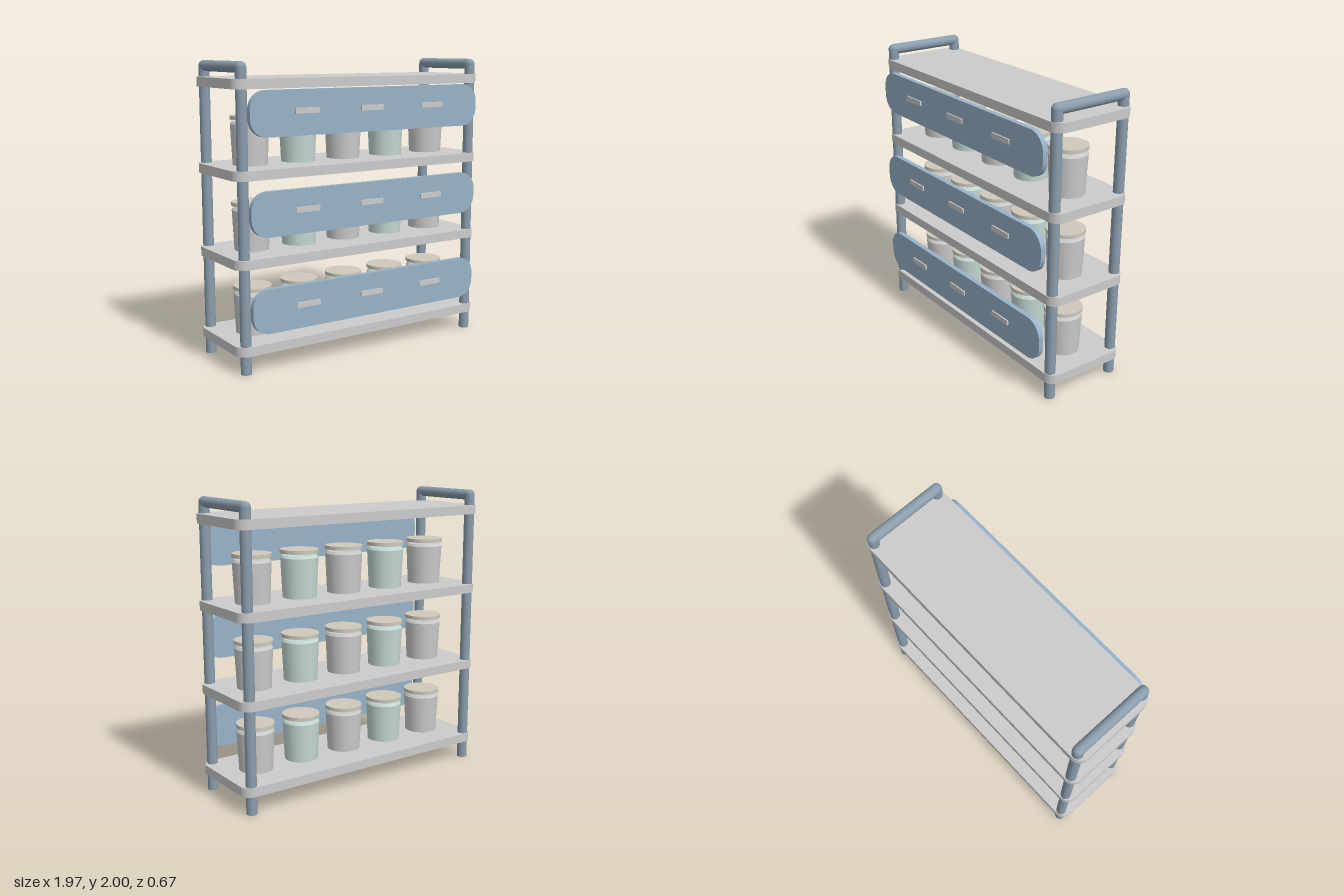
import * as THREE from 'three';

const mat = (color) => new THREE.MeshStandardMaterial({ color });
const grey = mat(0xcccccc);
const frameBlue = mat(0x8a9dac);
const panelBlue = mat(0x98b2c8);
const mint = mat(0xc5d9d5);
const lidBeige = mat(0xcfcabc);

const SHELF_TOPS = [0.188, 0.757, 1.324, 1.893];
const CENTER_Z = -0.028;

// Rounded rectangle plate centred on the origin, thickness along z
function plate(w, h, r, depth) {
  const x = w / 2, y = h / 2;
  const s = new THREE.Shape();
  s.moveTo(-x + r, -y);
  s.lineTo(x - r, -y);
  s.absarc(x - r, -y + r, r, -Math.PI / 2, 0);
  s.lineTo(x, y - r);
  s.absarc(x - r, y - r, r, 0, Math.PI / 2);
  s.lineTo(-x + r, y);
  s.absarc(-x + r, y - r, r, Math.PI / 2, Math.PI);
  s.lineTo(-x, -y + r);
  s.absarc(-x + r, -y + r, r, Math.PI, Math.PI * 1.5);
  const g = new THREE.ExtrudeGeometry(s, { depth, bevelEnabled: false, curveSegments: 10 });
  return g.translate(0, 0, -depth / 2);
}

function add(parent, name, geometry, material, x, y, z) {
  const m = new THREE.Mesh(geometry, material);
  m.name = name;
  m.position.set(x, y, z);
  parent.add(m);
  return m;
}

// Two posts joined by a top rail with rounded elbows
function sideFrame(x) {
  const g = new THREE.Group();
  g.name = 'sideFrame';
  const r = 0.036, top = 2 - r, span = 0.526;
  const post = new THREE.CylinderGeometry(r, r, top, 20);
  const elbow = new THREE.SphereGeometry(r, 20, 14);
  for (const s of [-1, 1]) {
    const z = CENTER_Z + s * span / 2;
    add(g, 'post', post, frameBlue, x, top / 2, z);
    add(g, 'elbow', elbow, frameBlue, x, top, z);
  }
  const rail = new THREE.CylinderGeometry(r, r, span, 20).rotateX(Math.PI / 2);
  add(g, 'topRail', rail, frameBlue, x, top, CENTER_Z);
  return g;
}

export function createModel() {
  const model = new THREE.Group();
  model.name = 'jarRack';

  // Frame
  model.add(sideFrame(-0.92), sideFrame(0.92));

  // Shelves
  const shelf = plate(1.966, 0.61, 0.075, 0.063).rotateX(-Math.PI / 2);
  for (const y of SHELF_TOPS) add(model, 'shelf', shelf, grey, 0, y - 0.0315, CENTER_Z);

  // Tapered jars, each with a chamfered shoulder and a separate lid
  const wall = new THREE.CylinderGeometry(0.128, 0.115, 0.268, 28, 1, true).translate(0, 0.134, 0);
  const shoulder = new THREE.CylinderGeometry(0.116, 0.128, 0.017, 28).translate(0, 0.2765, 0);
  const lid = new THREE.CylinderGeometry(0.13, 0.13, 0.025, 28).translate(0, 0.3105, 0);
  for (const y of SHELF_TOPS.slice(0, 3)) {
    for (let i = -2; i <= 2; i++) {
      const jar = new THREE.Group();
      jar.name = 'jar';
      jar.position.set(i * 0.364, y, CENTER_Z);
      const color = i % 2 ? mint : grey;
      add(jar, 'jarWall', wall, color, 0, 0, 0);
      add(jar, 'jarShoulder', shoulder, color, 0, 0, 0);
      add(jar, 'jarLid', lid, lidBeige, 0, 0, 0);
      model.add(jar);
    }
  }

  // Front panels with three small label bars each
  const panel = plate(1.816, 0.293, 0.12, 0.035);
  const bar = plate(0.18, 0.036, 0.006, 0.01);
  for (const y of [0.416, 1.046, 1.678]) {
    add(model, 'frontPanel', panel, panelBlue, 0, y, 0.306);
    for (const x of [-0.502, 0, 0.502]) add(model, 'labelBar', bar, grey, x, y + 0.013, 0.332);
  }
  return model;
}
